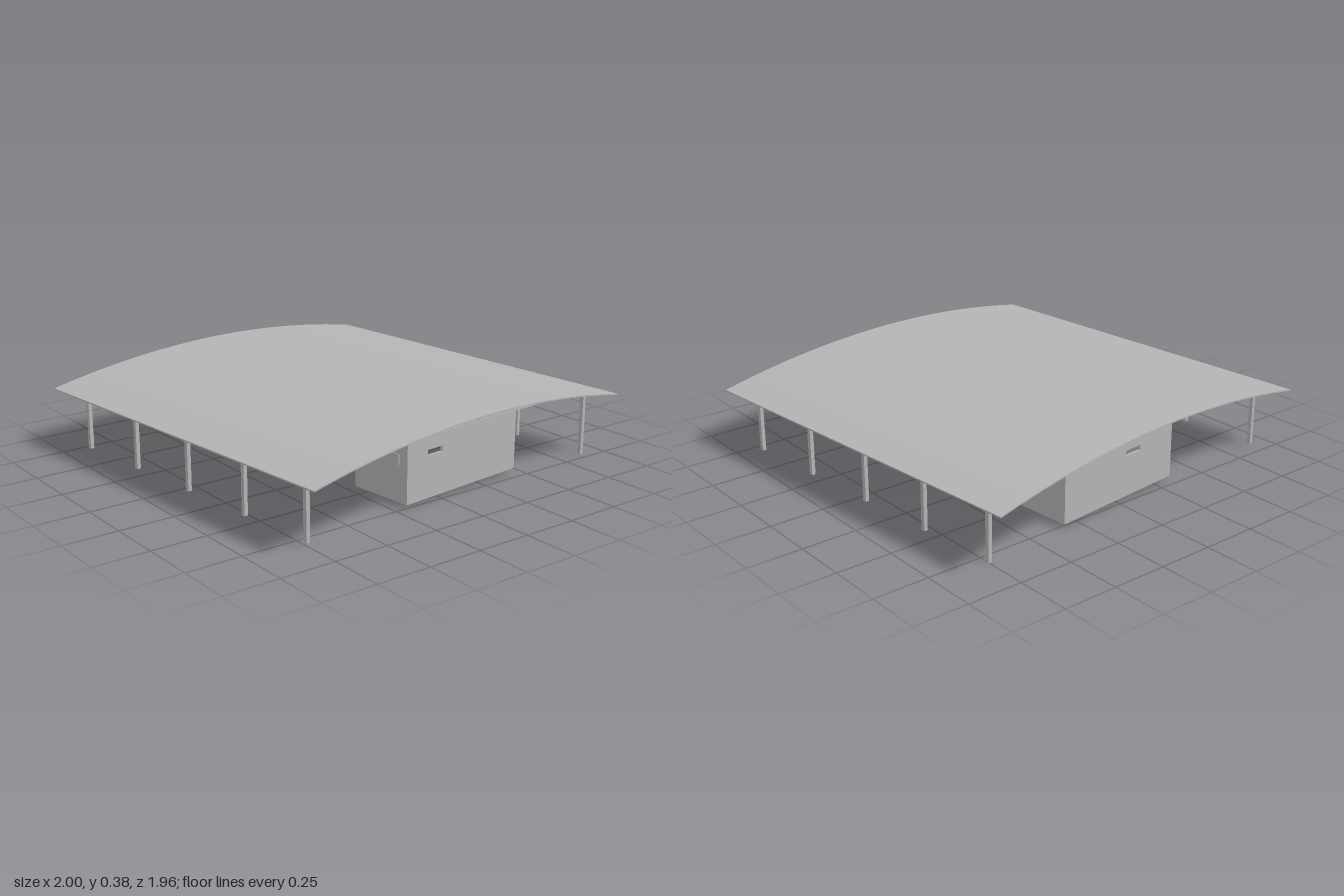
import * as THREE from 'three';

const ROOF_HALF = 0.919, ROOF_DEPTH = 1.795;
const roofY = (u) => 0.382 - 0.09 * (u / ROOF_HALF) ** 2;

export function createModel() {
  const root = new THREE.Group();
  const grey = new THREE.MeshStandardMaterial({ color: 0xb4b4b4 });
  grey.name = 'concrete grey';

  const add = (name, geometry, parent = root) => {
    const mesh = new THREE.Mesh(geometry, grey);
    mesh.name = name;
    parent.add(mesh);
    return mesh;
  };
  const group = (name) => {
    const g = new THREE.Group();
    g.name = name;
    root.add(g);
    return g;
  };
  const box = (name, w, h, d, x, y, z, parent) => {
    const mesh = add(name, new THREE.BoxGeometry(w, h, d), parent);
    mesh.position.set(x, y, z);
    return mesh;
  };
  // Square bar between two points
  const bar = (name, a, b, t, parent) => {
    const mesh = add(name, new THREE.BoxGeometry(t, t, a.distanceTo(b)), parent);
    mesh.position.copy(a).add(b).multiplyScalar(0.5);
    mesh.lookAt(b);
    return mesh;
  };
  const rectHole = (x0, x1, y0, y1) => new THREE.Path([
    new THREE.Vector2(x0, y0), new THREE.Vector2(x0, y1),
    new THREE.Vector2(x1, y1), new THREE.Vector2(x1, y0)]);

  // Curved roof sheet
  const N = 32, roofShape = new THREE.Shape();
  for (let i = 0; i <= N; i++) {
    const u = ROOF_HALF * (2 * i / N - 1);
    if (i) roofShape.lineTo(u, roofY(u)); else roofShape.moveTo(u, roofY(u));
  }
  for (let i = N; i >= 0; i--) {
    const u = ROOF_HALF * (2 * i / N - 1);
    roofShape.lineTo(u, roofY(u) - 0.006);
  }
  const roof = new THREE.ExtrudeGeometry(roofShape, { depth: ROOF_DEPTH, bevelEnabled: false });
  roof.translate(0, 0, -ROOF_DEPTH / 2);
  add('roof', roof);

  // End walls reaching up to the roof, each with a small window
  const U0 = -0.27, U1 = 0.402, V = 0.737, T = 0.012, BASE = 0.018;
  const endWall = (name, z, w0, w1) => {
    const s = new THREE.Shape();
    s.moveTo(U0, BASE);
    s.lineTo(U1, BASE);
    for (let i = 0; i <= 8; i++) {
      const u = U1 + (U0 - U1) * i / 8;
      s.lineTo(u, roofY(u) - 0.006);
    }
    s.holes.push(rectHole(w0, w1, 0.205, 0.23));
    const g = new THREE.ExtrudeGeometry(s, { depth: T, bevelEnabled: false });
    g.translate(0, 0, z);
    add(name, g);
  };
  endWall('frontWall', V - T, -0.15, -0.065);
  endWall('backWall', -V, -0.06, 0.03);

  // Side walls with two tall openings each
  const sideWall = (name, x, doors) => {
    const s = new THREE.Shape();
    s.moveTo(-V + T, BASE);
    for (const [a, b] of doors) {
      s.lineTo(a, BASE);
      s.lineTo(a, 0.23);
      s.lineTo(b, 0.23);
      s.lineTo(b, BASE);
    }
    s.lineTo(V - T, BASE);
    s.lineTo(V - T, 0.285);
    s.lineTo(-V + T, 0.285);
    const g = new THREE.ExtrudeGeometry(s, { depth: T, bevelEnabled: false });
    g.rotateY(-Math.PI / 2);
    g.translate(x, 0, 0);
    add(name, g);
  };
  sideWall('leftWall', U1, [[-0.42, -0.235], [0.3, 0.485]]);
  sideWall('rightWall', U0 + T, [[-0.49, -0.29], [0.23, 0.43]]);

  // Lintels and small wall boxes beside the openings
  for (const v of [-0.355, 0.36]) {
    box('lintel', 0.012, 0.026, 0.26, U1 + 0.005, 0.242, v);
    box('wallBox', 0.012, 0.06, 0.03, U1 + 0.004, 0.065, v - 0.11);
    box('lintel', 0.012, 0.026, 0.26, U0 - 0.005, 0.242, v - 0.03);
  }

  // Window panels, counter and row of bowls inside
  box('windowPanel', 0.02, 0.06, 0.36, U0 + 0.006, 0.2, -0.03);
  box('windowPanel', 0.02, 0.055, 0.18, U0 + 0.006, 0.2, 0.6);
  box('counter', 0.05, 0.012, 0.36, U0 + 0.035, 0.1, -0.03);
  const bowls = group('bowls');
  for (let i = 0; i < 10; i++) {
    const bowl = add('bowl', new THREE.CylinderGeometry(0.014, 0.009, 0.035, 10), bowls);
    bowl.position.set(-0.22 + i * 0.062, 0.06, V - T - 0.014);
  }

  // Posts with an edge beam on each side
  const posts = group('posts');
  for (const [u, vFront, foot] of [[0.816, 0.783, 0], [-0.822, 0.745, 0.015]]) {
    for (let i = 0; i < 5; i++) {
      box('post', 0.018, 0.285 - foot, 0.018, u, (0.285 + foot) / 2, vFront - i * 0.377, posts);
    }
    box('edgeBeam', 0.018, 0.014, 1.57, u, 0.287, vFront - 0.754, posts);
  }

  // Zigzag trusses: point(t, top) gives the chord positions
  const truss = (name, bays, point) => {
    const g = group(name);
    bar('bottomChord', point(0, false), point(1, false), 0.007, g);
    for (let i = 0; i < bays; i++) {
      const a = i / bays, b = (i + 1) / bays, m = (a + b) / 2;
      bar('topChord', point(a, true), point(b, true), 0.007, g);
      bar('web', point(a, false), point(m, true), 0.004, g);
      bar('web', point(m, true), point(b, false), 0.004, g);
    }
  };
  for (let i = 0; i < 5; i++) {
    const v = (i - 2) * 0.3685;
    truss('crossTruss', 20, (t, top) => {
      const u = -0.822 + 1.638 * t;
      return new THREE.Vector3(u, top ? roofY(u) - 0.011 : 0.288, v);
    });
  }
  for (const u of [U0 + T / 2, U1 - T / 2]) {
    truss('wallTruss', 18, (t, top) =>
      new THREE.Vector3(u, top ? roofY(u) - 0.011 : 0.288, (2 * t - 1) * (V - T)));
  }

  // The whole building stands slightly turned
  root.rotation.y = 0.0927;
  const model = new THREE.Group();
  model.name = 'pavilion';
  root.name = 'building';
  model.add(root);
  return model;
}
